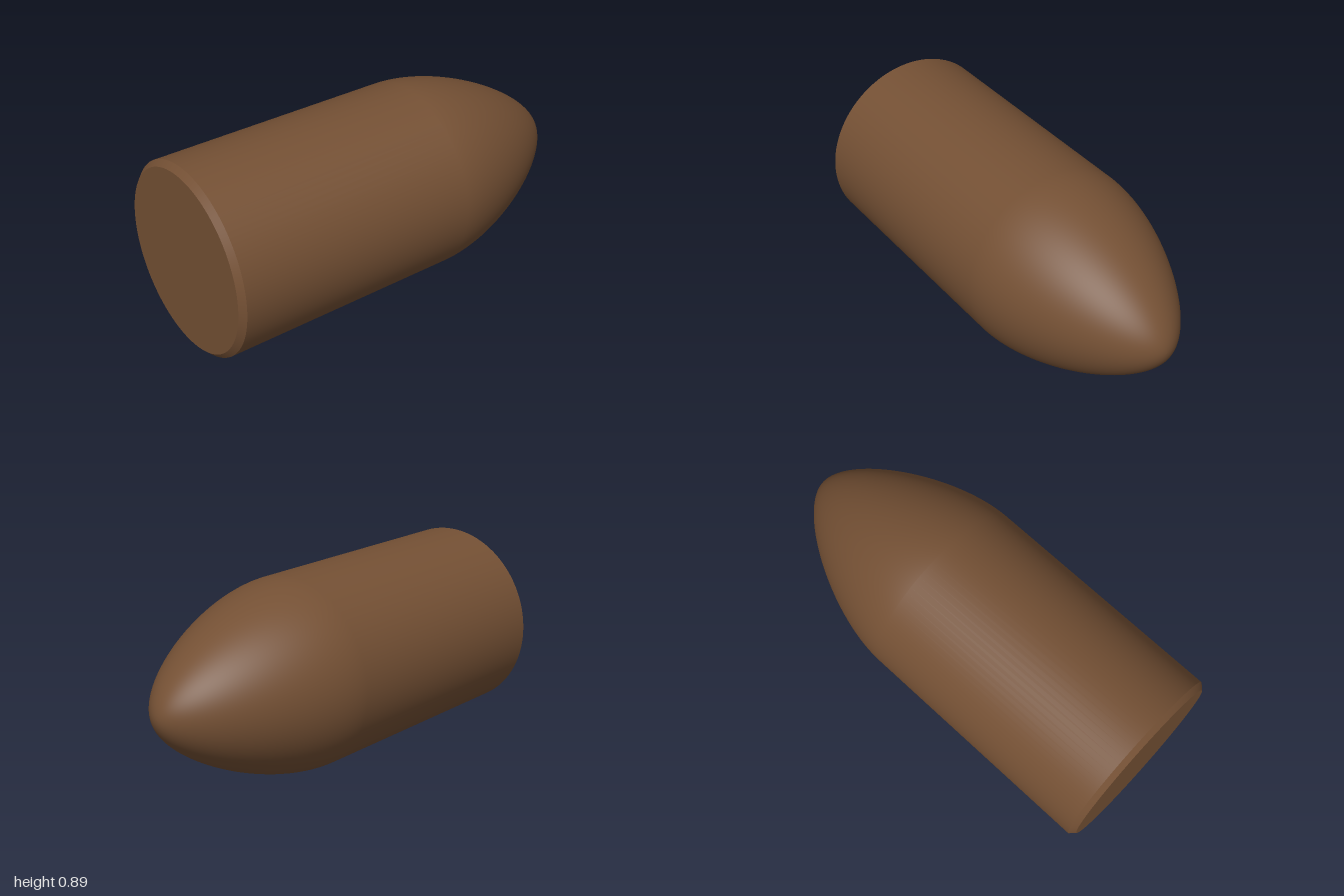
import * as THREE from 'three';

const R = 0.447;       // body radius
const BASE = 1;        // flat end
const SHOULDER = -0.2; // where the nose begins
const TIP = -1;
const BEVEL = 0.026;

// Lathe about y, turned so that its axis runs along z (profile y becomes z)
function turned(name, points, material) {
  const geometry = new THREE.LatheGeometry(points, 96);
  geometry.rotateX(Math.PI / 2);
  const mesh = new THREE.Mesh(geometry, material);
  mesh.name = name;
  mesh.position.y = R;
  return mesh;
}

export function createModel() {
  const group = new THREE.Group();
  group.name = 'roundNosedCylinder';
  const material = new THREE.MeshStandardMaterial({ color: 0x745034 });
  const p = (r, z) => new THREE.Vector2(r, z);

  // Nose: rounded tip, meeting the straight body tangentially
  const length = SHOULDER - TIP;
  const nose = new THREE.CubicBezierCurve(
    p(0, TIP), p(0.4 * R, TIP), p(R, TIP + 0.6 * length), p(R, SHOULDER));
  const profile = [...nose.getPoints(48), p(R, BASE - BEVEL)];
  group.add(turned('body', profile, material));

  // Bevelled rim and flat end, kept separate for crisp edges
  group.add(turned('bevel', [p(R, BASE - BEVEL), p(R - BEVEL, BASE)], material));
  group.add(turned('baseCap', [p(R - BEVEL, BASE), p(0, BASE)], material));
  return group;
}
